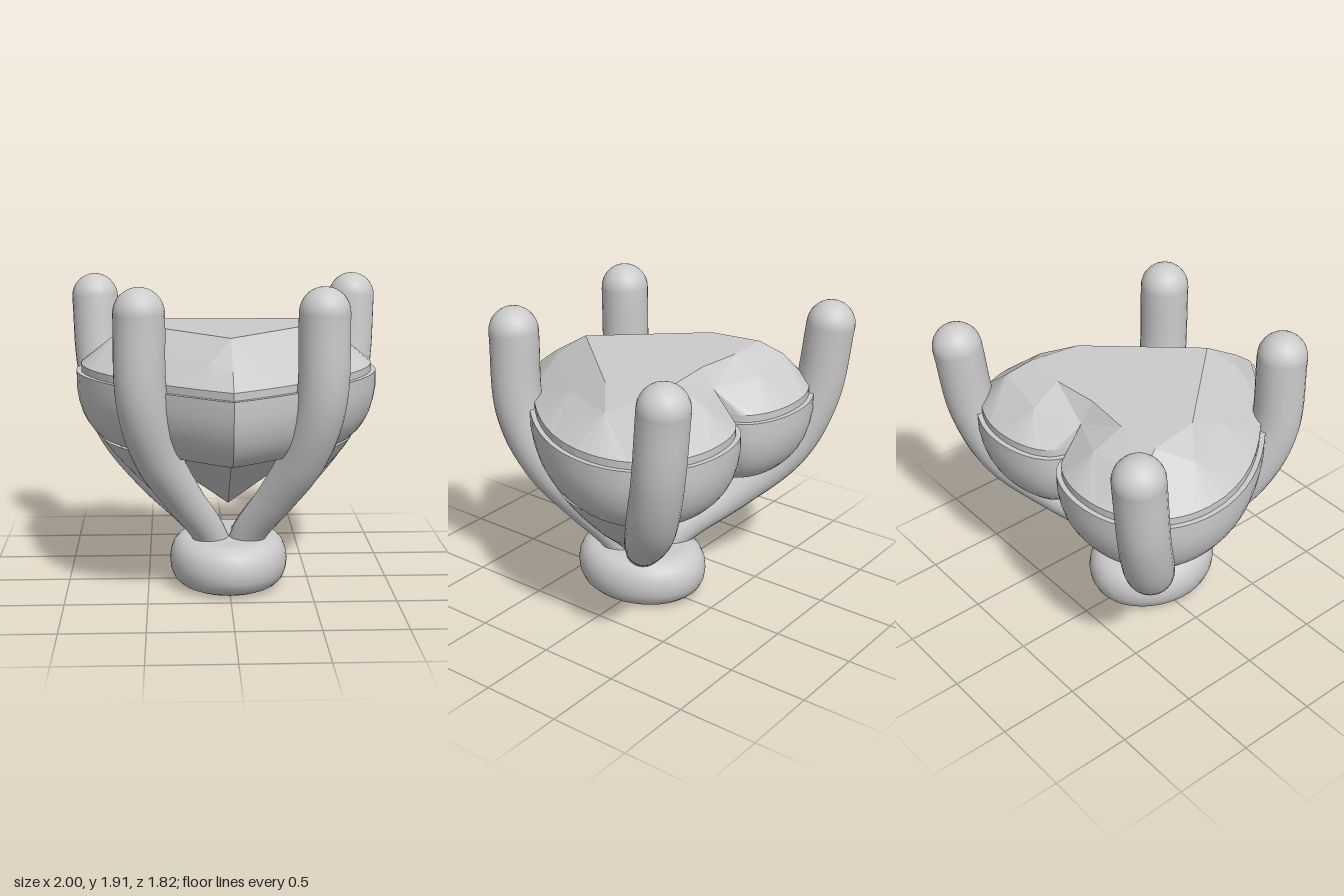
import * as THREE from 'three';
import { toCreasedNormals } from 'three/addons/utils/BufferGeometryUtils.js';
import { ParametricGeometry } from 'three/addons/geometries/ParametricGeometry.js';

const grey = new THREE.MeshStandardMaterial({ color: 0xcccccc });
const faceted = new THREE.MeshStandardMaterial({ color: 0xcccccc, flatShading: true });
const thin = new THREE.MeshStandardMaterial({ color: 0xcccccc, side: THREE.DoubleSide });

// Half heart outline in plan (x, z), from the front tip round to the cleft
const v2 = (x, z) => new THREE.Vector2(x, z);
const segments = [
  new THREE.CubicBezierCurve(v2(0, 0.905), v2(0.3, 0.72), v2(0.95, 0.25), v2(0.95, -0.3)),
  new THREE.CubicBezierCurve(v2(0.95, -0.3), v2(0.95, -0.63), v2(0.7, -0.83), v2(0.4, -0.83)),
  new THREE.CubicBezierCurve(v2(0.4, -0.83), v2(0.2, -0.83), v2(0.03, -0.75), v2(0, -0.63)),
];

// Half outline inset by d at height y, trimmed at the tip and mitred at the cleft
function heartRing(d, y, n) {
  const pts = [];
  for (let i = 0; i <= 3 * n; i++) {
    const s = Math.min(2, Math.floor(i / n));
    const u = i / n - s;
    const p = segments[s].getPoint(u), t = segments[s].getTangent(u);
    pts.push({ x: p.x + t.y * d, y, z: p.y - t.x * d, t: i / (3 * n) });
  }
  const k = pts.findIndex((p) => p.x > 0);
  const a = pts[k - 1], b = pts[k];
  const tipZ = a.z + (b.z - a.z) * (-a.x / (b.x - a.x));
  for (let i = 0; i < k; i++) { pts[i].x = 0; pts[i].z = tipZ; }
  const cleft = pts[pts.length - 1];
  cleft.x = 0;
  cleft.z = -0.63 + Math.min(3 * d, 0.06 + d);
  return pts;
}

// Stitches half rings of any point count together and mirrors them in x
function loftHalfRings(rings) {
  const pos = [];
  const tri = (a, b, c) => {
    for (const p of [a, b, c]) pos.push(p.x, p.y, p.z);
    for (const p of [a, c, b]) pos.push(-p.x, p.y, p.z);
  };
  for (let r = 0; r + 1 < rings.length; r++) {
    const L = rings[r], U = rings[r + 1];
    let i = 0, j = 0;
    while (i < L.length - 1 || j < U.length - 1) {
      const moveLower = j === U.length - 1
        || (i < L.length - 1 && L[i].t + L[i + 1].t <= U[j].t + U[j + 1].t);
      if (moveLower) { tri(L[i], L[i + 1], U[j]); i++; }
      else { tri(L[i], U[j + 1], U[j]); j++; }
    }
  }
  const g = new THREE.BufferGeometry();
  g.setAttribute('position', new THREE.Float32BufferAttribute(pos, 3));
  g.computeVertexNormals();
  return g;
}

const ring = (rows) => rows.map(([x, y, z, t]) => ({ x, y, z, t }));

function makeGem() {
  const crown = ring([
    [0, 1.445, 0.74, 0], [0.13, 1.47, 0.63, 0.06], [0.54, 1.48, 0.15, 0.2],
    [0.72, 1.51, -0.25, 0.34], [0.64, 1.53, -0.56, 0.5], [0.28, 1.5, -0.62, 0.75], [0, 1.48, -0.49, 1],
  ]);
  const table = ring([
    [0, 1.6, 0.49, 0], [0.53, 1.6, -0.1, 0.28], [0.58, 1.6, -0.42, 0.47],
    [0.3, 1.6, -0.43, 0.76], [0, 1.6, -0.4, 1],
  ]);
  return loftHalfRings([
    ring([[0, 0.49, 0, 0]]),
    heartRing(0.24, 0.92, 3),
    heartRing(0.03, 1.29, 14),
    heartRing(0.03, 1.345, 14),
    crown, table,
    ring([[0, 1.6, 0, 0]]),
  ]);
}

function makeBezel() {
  const profile = [
    [0.14, 0.89], [0.1, 0.93], [0.065, 0.98], [0.035, 1.04], [0.012, 1.12], [0, 1.2],
    [0, 1.3], [0.04, 1.3], [0.22, 0.93], [0.22, 0.89], [0.14, 0.89],
  ];
  return toCreasedNormals(loftHalfRings(profile.map(([d, y]) => heartRing(d, y, 16))), 0.6);
}

const path = (rows) => new THREE.CatmullRomCurve3(rows.map((p) => new THREE.Vector3(...p)));
const frontPath = path([
  [0.07, 0.18, 0.08], [0.13, 0.35, 0.15], [0.28, 0.6, 0.3], [0.43, 0.89, 0.46], [0.52, 1.25, 0.58], [0.53, 1.76, 0.6],
]);
const backPath = path([
  [0.06, 0.18, 0.0], [0.18, 0.35, -0.1], [0.47, 0.6, -0.34], [0.71, 0.89, -0.57], [0.82, 1.25, -0.7], [0.85, 1.71, -0.76],
]);

// Claw that thins toward the base, with a domed tip
function makeProng(curve, side, name) {
  const group = new THREE.Group();
  group.name = name;
  const p = curve.points.map((q) => new THREE.Vector3(q.x * side, q.y, q.z));
  const c = new THREE.CatmullRomCurve3(p);
  const steps = 40, sides = 24, radius = 0.15;
  const tube = new THREE.TubeGeometry(c, steps, radius, sides);
  const a = tube.attributes.position, v = new THREE.Vector3();
  for (let i = 0; i <= steps; i++) {
    const centre = c.getPointAt(i / steps);
    const k = 0.7 + 0.3 * THREE.MathUtils.smoothstep(i / steps, 0.1, 0.65);
    for (let j = 0; j <= sides; j++) {
      const n = i * (sides + 1) + j;
      v.fromBufferAttribute(a, n).sub(centre).multiplyScalar(k).add(centre);
      a.setXYZ(n, v.x, v.y, v.z);
    }
  }
  const shaft = new THREE.Mesh(tube, grey);
  shaft.name = 'prongShaft';
  const tip = new THREE.Mesh(new THREE.SphereGeometry(radius, 24, 16), grey);
  tip.name = 'prongTip';
  tip.position.copy(p[p.length - 1]);
  group.add(shaft, tip);
  return group;
}

// Curved web joining the front and back prongs of one side
function makeWeb(side) {
  return new ParametricGeometry((u, v, target) => {
    const a = frontPath.getPoint(u * 0.6), b = backPath.getPoint(u * 0.6);
    target.copy(a).lerp(b, v);
    target.x = side * (target.x + 0.2 * u * Math.sin(Math.PI * v));
  }, 20, 16);
}

export function createModel() {
  const model = new THREE.Group();
  model.name = 'heartGemSetting';
  const add = (geometry, material, name) => {
    const mesh = new THREE.Mesh(geometry, material);
    mesh.name = name;
    model.add(mesh);
    return mesh;
  };

  add(makeGem(), faceted, 'heartGem');
  add(makeBezel(), grey, 'bezel');

  for (const side of [1, -1]) {
    const label = side > 0 ? 'Left' : 'Right';
    model.add(makeProng(frontPath, side, 'front' + label + 'Prong'));
    model.add(makeProng(backPath, side, 'back' + label + 'Prong'));
    add(makeWeb(side), thin, 'side' + label + 'Web');
  }

  // Oval rounded collar with a slightly recessed underside
  const collar = [
    [0, 0.015], [0.23, 0.015], [0.245, 0], [0.275, 0.003], [0.31, 0.02], [0.34, 0.05], [0.36, 0.1], [0.366, 0.155],
    [0.36, 0.21], [0.34, 0.26], [0.31, 0.292], [0.275, 0.308], [0.245, 0.31], [0, 0.31],
  ].map(([r, y]) => v2(r, y));
  const base = add(toCreasedNormals(new THREE.LatheGeometry(collar, 48), 0.7), grey, 'baseCollar');
  base.scale.z = 1.18;
  base.position.z = 0.05;
  return model;
}
